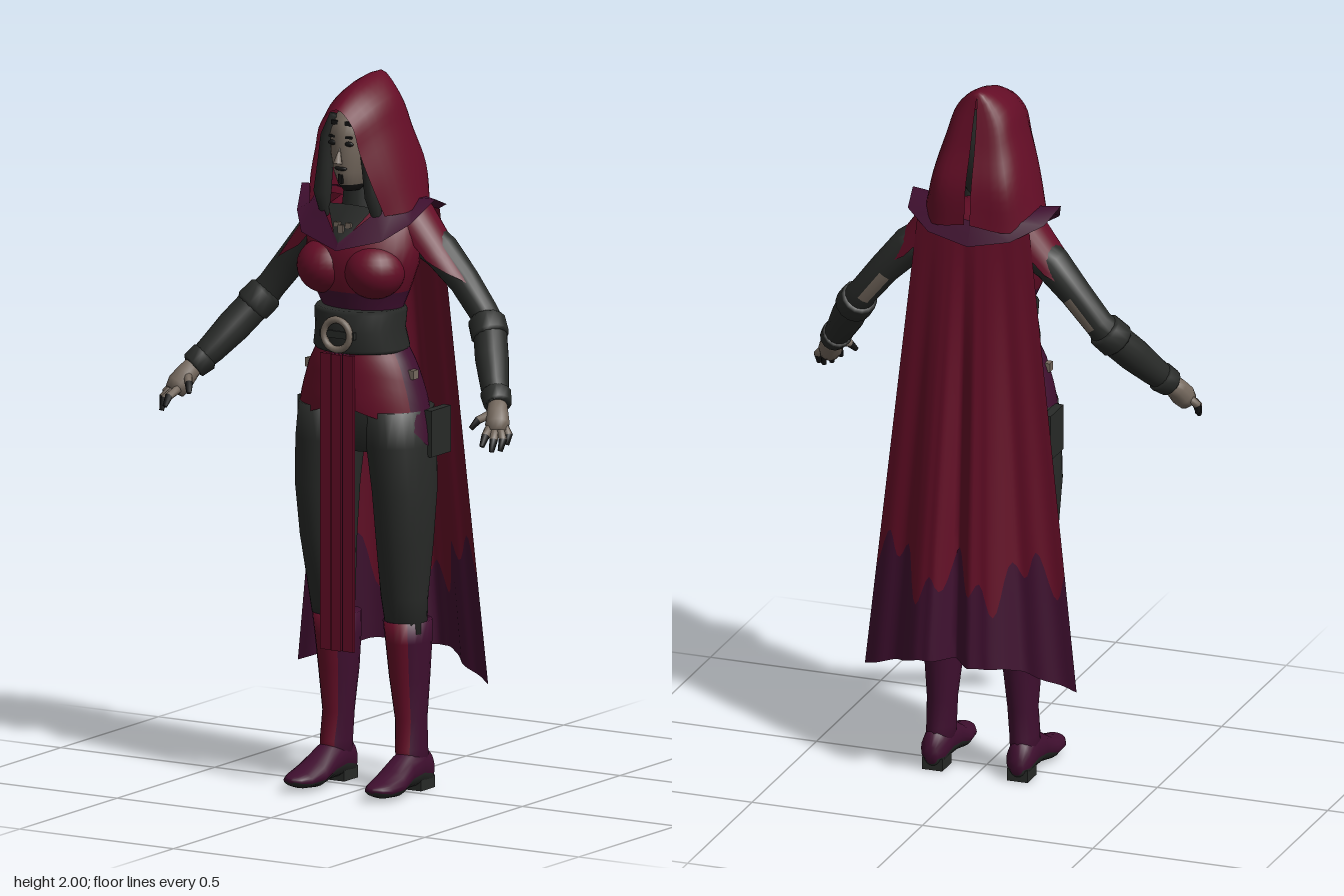
import * as THREE from 'three';

const V = (x, y, z) => new THREE.Vector3(x, y, z);
const colour = (name, color, side = THREE.FrontSide) => {
  const m = new THREE.MeshStandardMaterial({ color, side });
  m.name = name;
  return m;
};

// Skin over rows of points; paint(i, j) picks the material group of each cell
function skinRows(rows, { wrap = true, cap = true, paint = () => 0 } = {}) {
  const n = rows[0].length, pts = rows.flat(), lists = [[], [], []];
  const cols = wrap ? n : n - 1;
  for (let i = 0; i < rows.length - 1; i++) for (let j = 0; j < cols; j++) {
    const k = (j + 1) % n, a = i * n + j, b = a + n, c = (i + 1) * n + k, d = i * n + k;
    lists[paint(i, j)].push(a, b, d, b, c, d);
  }
  if (wrap && cap) for (const i of [0, rows.length - 1]) {
    const mid = rows[i].reduce((s, p) => s.add(p), V(0, 0, 0)).divideScalar(n);
    const m = pts.push(mid) - 1, target = lists[paint(Math.min(i, rows.length - 2), 0)];
    for (let j = 0; j < n; j++) {
      const a = i * n + j, b = i * n + (j + 1) % n;
      target.push(m, ...(i ? [b, a] : [a, b]));
    }
  }
  const g = new THREE.BufferGeometry().setFromPoints(pts);
  g.setIndex(lists.flat());
  let start = 0;
  lists.forEach((l, i) => { if (l.length) g.addGroup(start, l.length, i); start += l.length; });
  g.computeVertexNormals();
  return g;
}
const ring = (c, u, v, n) => Array.from({ length: n }, (_, j) => {
  const a = j / n * Math.PI * 2;
  return c.clone().addScaledVector(u, Math.cos(a)).addScaledVector(v, Math.sin(a));
});
// Upright body: rows of [y, centreX, halfWidth, frontZ, backZ]
const upright = (secs, n = 24, opts) => skinRows(secs.map(([y, cx, hw, f, b]) =>
  ring(V(cx, y, (f + b) / 2), V(hw, 0, 0), V(0, 0, (f - b) / 2), n)), opts);
// Limb: path of [x, y, z, radius]
function limb(path, n = 14, opts) {
  const p = path.map(q => V(q[0], q[1], q[2]));
  return skinRows(p.map((c, i) => {
    const t = p[Math.min(i + 1, p.length - 1)].clone().sub(p[Math.max(i - 1, 0)]).normalize();
    const u = V(1, 0.4, 0).addScaledVector(t, -V(1, 0.4, 0).dot(t)).normalize();
    const v = u.clone().cross(t);
    return ring(c, u.multiplyScalar(path[i][3]), v.multiplyScalar(path[i][3]), n);
  }), opts);
}
function mirrored(geo) {
  const g = geo.clone().scale(-1, 1, 1), ix = g.index.array;
  for (let i = 0; i < ix.length; i += 3) [ix[i], ix[i + 1]] = [ix[i + 1], ix[i]];
  return g;
}
const smooth = (pts, n) => new THREE.CatmullRomCurve3(pts).getPoints(n);
// Linear lookup in a table of [key, value] pairs
function lookup(table, k) {
  let i = 0;
  while (i < table.length - 2 && k > table[i + 1][0]) i++;
  const [a, b] = [table[i], table[i + 1]];
  return THREE.MathUtils.mapLinear(THREE.MathUtils.clamp(k, a[0], b[0]), a[0], b[0], a[1], b[1]);
}

export function createModel() {
  const root = new THREE.Group();
  root.name = 'hoodedFigure';
  const red = colour('crimson cloth', 0x640d26, THREE.DoubleSide);
  const purple = colour('plum cloth', 0x3f0f2f, THREE.DoubleSide);
  const dark = colour('charcoal leather', 0x282a28);
  const skin = colour('ashen skin', 0x75695e);
  const black = colour('face paint', 0x141414);
  const add = (name, geo, mat, parent = root) => {
    const m = new THREE.Mesh(geo, mat);
    m.name = name;
    parent.add(m);
    return m;
  };
  const pair = (name, geo, mat) => {
    add(name + 'Left', geo, mat);
    add(name + 'Right', mirrored(geo), mat);
  };
  const box = (w, h, d, x, y, z) => new THREE.BoxGeometry(w, h, d).translate(x, y, z);
  const ball = (rx, ry, rz, x, y, z) => new THREE.SphereGeometry(1, 24, 16).scale(rx, ry, rz).translate(x, y, z);

  // Legs and boots
  pair('trouserLeg', upright([[.44, .118, .056, .045, -.065], [.55, .118, .066, .066, -.062], [.7, .124, .076, .097, -.078],
    [.85, .125, .085, .116, -.092], [.98, .115, .09, .127, -.103], [1.08, .105, .09, .127, -.105]]), dark);
  pair('bootShaft', upright([[.05, .125, .038, .03, -.092], [.12, .122, .04, .03, -.086], [.2, .118, .042, .018, -.083],
    [.32, .115, .053, .036, -.095], [.42, .115, .06, .05, -.1], [.48, .115, .065, .058, -.095]], 20,
  { paint: (i, j) => (j > 2 && j < 7 ? 1 : 0) }), [purple, red]);
  const foot = [[-.102, .125, .02, .02, .07], [-.085, .125, .036, .004, .11], [-.03, .125, .042, .012, .13], [.03, .125, .044, .012, .11],
    [.09, .128, .051, .002, .075], [.15, .131, .045, .008, .055], [.18, .132, .03, .018, .048], [.192, .132, .012, .028, .042]];
  pair('bootFoot', skinRows(foot.map(([z, cx, hw, y0, y1]) =>
    ring(V(cx, (y0 + y1) / 2, z), V(-hw, 0, 0), V(0, (y1 - y0) / 2, 0), 20)),
  { paint: (i, j) => (j > 10 && j < 19 ? 1 : 0) }), [purple, dark]);
  pair('bootHeel', box(.06, .035, .07, .125, .0175, -.06), dark);

  // Torso, bust and hips
  add('torso', upright([[1.2, 0, .13, .12, -.08], [1.3, 0, .115, .115, -.065], [1.36, 0, .12, .12, -.065], [1.41, 0, .143, .14, -.075],
    [1.48, 0, .168, .152, -.09], [1.54, 0, .172, .142, -.1], [1.6, 0, .155, .108, -.1], [1.65, 0, .09, .06, -.08]], 32,
  { paint: i => (i < 3 ? 1 : 0) }), [red, purple]);
  pair('bust', ball(.085, .078, .085, .077, 1.47, .089), red);
  add('pelvis', upright([[.96, 0, .13, .1, -.1], [1.05, 0, .185, .125, -.108], [1.15, 0, .165, .125, -.1], [1.24, 0, .12, .11, -.07]]), dark);

  // Skirt: red at the front, plum over hips and back
  const N = 48, skirt = [];
  for (let i = 0; i <= 8; i++) skirt.push(Array.from({ length: N }, (_, j) => {
    const a = j / N * Math.PI * 2, s = Math.sin(a), c = Math.abs(Math.cos(a));
    const hem = s > 0 ? lookup([[0, 1.1], [.75, 1.05], [.95, 1.02], [1, .98]], c) : .98;
    const y = THREE.MathUtils.lerp(1.25, hem, i / 8), d = 1.25 - y;
    const hw = lookup([[0, .132], [.05, .16], [.13, .186], [.22, .205], [.27, .208]], d);
    const f = lookup([[0, .13], [.05, .141], [.15, .15], [.27, .145]], d);
    const b = lookup([[0, -.076], [.05, -.092], [.15, -.113], [.27, -.116]], d);
    return V(Math.cos(a) * hw, y, (f + b) / 2 + s * (f - b) / 2);
  }));
  add('skirt', skinRows(skirt, { cap: false, paint: (i, j) => (j > 2 && j < 21 ? 0 : 1) }), [red, purple]);
  pair('hipPouch', box(.025, .13, .1, .205, 1.015, -.03), dark);
  pair('hipStud', box(.02, .025, .025, .166, 1.18, .035), skin);

  // Belt, buckle and hanging tabard
  add('belt', upright([[1.24, 0, .133, .148, -.08], [1.25, 0, .138, .155, -.085], [1.3, 0, .127, .16, -.078],
    [1.35, 0, .132, .158, -.08], [1.36, 0, .126, .15, -.075]], 32), dark);
  add('buckleRing', new THREE.TorusGeometry(.042, .01, 8, 24).translate(0, 1.295, .163), skin);
  add('buckleBar', box(.11, .02, .012, 0, 1.295, .158), dark);
  for (const [name, x, w, z, m] of [['tabardLeft', .037, .034, .16, red], ['tabardRight', -.037, .034, .16, red],
    ['tabardMiddle', 0, .03, .164, red], ['tabardBacking', 0, .1, .153, purple]])
    add(name, box(w, .83, .009, x, .825, z), m);

  // Arms and hands
  pair('arm', limb([[.14, 1.56, -.04, .055], [.21, 1.515, -.045, .052], [.28, 1.44, -.05, .044], [.345, 1.36, -.046, .041],
    [.375, 1.32, -.03, .047], [.42, 1.25, .03, .047], [.46, 1.19, .08, .04], [.495, 1.145, .118, .033]], 16,
  { paint: (i, j) => (i === 2 && j > 3 && j < 6 ? 1 : 0) }), [dark, skin]);
  pair('elbowCuff', limb([[.355, 1.345, -.043, .043], [.36, 1.338, -.038, .052], [.385, 1.305, -.016, .053], [.39, 1.298, -.012, .046]]), dark);
  pair('wristCuff', limb([[.47, 1.175, .09, .036], [.474, 1.17, .095, .043], [.494, 1.147, .117, .039], [.496, 1.144, .12, .03]]), dark);
  pair('palm', limb([[.492, 1.15, .115, .026], [.505, 1.125, .137, .031], [.517, 1.1, .155, .034], [.525, 1.08, .168, .028]], 12), skin);
  const fingers = [[[.492, 1.125, .15], [.47, 1.11, .18], [.458, 1.088, .198]], [[.505, 1.09, .18], [.514, 1.075, .212], [.515, 1.05, .232]],
    [[.52, 1.085, .175], [.535, 1.065, .203], [.536, 1.034, .216]], [[.532, 1.09, .165], [.552, 1.065, .182], [.55, 1.034, .193]],
    [[.535, 1.098, .15], [.557, 1.075, .16], [.555, 1.048, .168]]];
  fingers.forEach(([a, b, c], i) => pair('finger' + (i + 1), limb([[...a, .012], [...b, .0115], [...c, .007]], 8,
    { paint: k => k }), [skin, black]));

  // Shoulder drape narrowing to a point over the arm
  const drape = [];
  for (let i = 0; i <= 12; i++) {
    const s = i / 12 * .27, r = .068 - .07 * s, spread = lookup([[0, 1.6], [.14, 1.45], [.2, .95], [.27, .08]], s);
    drape.push(Array.from({ length: 15 }, (_, j) => {
      const a = (j / 7 - 1) * spread;
      return V(.115 + .64 * s + .76 * r * Math.cos(a), 1.6 - .76 * s + .64 * r * Math.cos(a), -.035 - 1.15 * r * Math.sin(a));
    }));
  }
  pair('shoulderDrape', skinRows(drape, { wrap: false }), red);

  // Cape with two folds and a ragged plum hem
  const capePoint = (u, y) => {
    const t = (1.62 - y) / 1.3, top = -.105 - .02 * (1 - u * u);
    const low = lookup([[-1, -.125], [-.55, -.165], [-.28, -.236], [-.1, -.238], [.1, -.172], [.28, -.23], [.42, -.23], [.65, -.165], [1, -.125]], u);
    return V(u * (.165 + .145 * t), y, top * (1 - t) + low * t + .005 * Math.sin(u * 20) * t);
  };
  const capeRows = (from, to, n) => Array.from({ length: n + 1 }, (_, i) => Array.from({ length: 61 }, (_, j) => {
    const u = j / 30 - 1;
    return capePoint(u, THREE.MathUtils.lerp(from(u), to(u), i / n));
  }));
  const seam = u => .6 + .05 * Math.sin(u * 9 + 1) + .045 * Math.sin(u * 23) + .05 * u * u;
  const hem = u => .37 - .07 * Math.max(0, (Math.abs(u) - .4) / .6);
  add('capeUpper', skinRows(capeRows(() => 1.62, seam, 12), { wrap: false }), red);
  add('capeHem', skinRows(capeRows(seam, hem, 4), { wrap: false }), purple);

  // Collar band and lapels, dark neckline and pendant
  const inner = [[0, 1.55, .158], [.085, 1.635, .1], [.12, 1.655, .05], [.14, 1.665, -.01], [.13, 1.66, -.07], [.08, 1.65, -.11], [0, 1.64, -.122]];
  const outer = [[0, 1.53, .168], [.13, 1.565, .14], [.185, 1.61, .075], [.217, 1.67, 0], [.2, 1.64, -.085], [.12, 1.6, -.14], [0, 1.575, -.152]];
  pair('collar', skinRows([inner, outer].map(r => r.map(p => V(...p))), { wrap: false }), purple);
  add('neckline', skinRows([[V(-.075, 1.645, .09), V(0, 1.65, .1), V(.075, 1.645, .09)],
    [V(-.03, 1.58, .135), V(0, 1.575, .145), V(.03, 1.58, .135)], [V(-.004, 1.54, .158), V(0, 1.54, .16), V(.004, 1.54, .158)]].reverse()
    .map(r => r.reverse()), { wrap: false }), dark);
  add('neck', new THREE.CylinderGeometry(.046, .06, .16, 20).translate(0, 1.65, .035), dark);
  pair('pendant', box(.018, .014, .008, .018, 1.597, .132), skin);
  add('pendantDrop', box(.016, .022, .008, 0, 1.588, .142), skin);

  // Head, hair and face
  add('head', upright([[1.69, 0, .022, .115, .04], [1.71, 0, .038, .134, 0], [1.745, 0, .052, .145, -.02], [1.79, 0, .063, .148, -.03],
    [1.85, 0, .067, .15, -.03], [1.89, 0, .058, .14, -.02], [1.92, 0, .035, .105, .01]], 28, { paint: i => (i < 1 ? 1 : 0) }), [skin, black]);
  add('hairBack', ball(.088, .14, .09, 0, 1.79, .015), dark);
  pair('hairLock', limb([[.085, 1.61, .09, .012], [.083, 1.68, .105, .025], [.072, 1.76, .108, .022], [.062, 1.84, .115, .018], [.035, 1.9, .12, .014]], 10), dark);
  const nose = new THREE.ConeGeometry(.013, .05, 8).rotateX(-.25).translate(0, 1.797, .152);
  add('nose', nose, skin);
  pair('eye', ball(.014, .007, .006, .027, 1.828, .143), black);
  pair('eyebrow', box(.03, .006, .008, .029, 1.846, .143).rotateZ(.004), black);
  add('mouth', ball(.02, .006, .007, 0, 1.757, .143), black);
  add('chinPaint', box(.012, .026, .008, 0, 1.728, .142), black);
  pair('browPaint', box(.02, .012, .008, .022, 1.884, .137), black);

  // Hood: arches from the face rim to the back seam
  const arches = [
    [[0, 1.925, .165], [.05, 1.885, .166], [.072, 1.81, .16], [.1, 1.72, .142], [.122, 1.63, .11]],
    [[0, 1.972, .07], [.07, 1.93, .065], [.1, 1.85, .065], [.132, 1.75, .055], [.158, 1.635, .045]],
    [[0, 1.998, -.04], [.072, 1.945, -.03], [.104, 1.86, -.035], [.138, 1.75, -.04], [.163, 1.64, -.045]],
    [[0, 1.997, -.07], [.055, 1.93, -.078], [.08, 1.84, -.098], [.105, 1.74, -.125], [.115, 1.62, -.125]],
    [[0, 1.985, -.078], [.004, 1.92, -.094], [.006, 1.84, -.115], [.008, 1.74, -.146], [.008, 1.64, -.157]]];
  const wide = arches.map(a => smooth([...a.slice(1).reverse().map(p => V(-p[0], p[1], p[2])), ...a.map(p => V(...p))], 32));
  const columns = wide[0].map((_, j) => smooth(wide.map(r => r[j]), 16));
  add('hood', skinRows(columns, { wrap: false }), red);
  return root;
}
